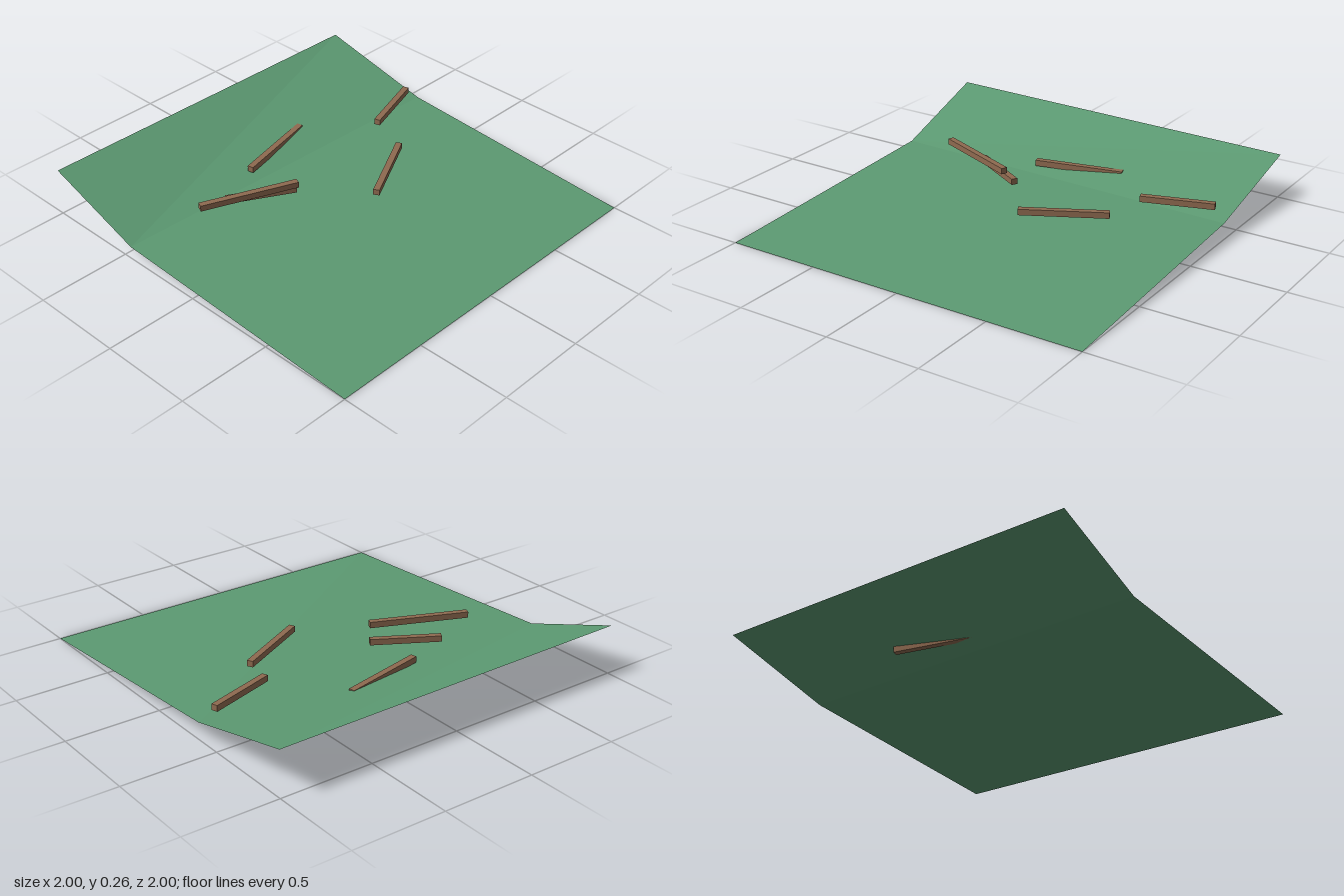
import * as THREE from 'three';

// Squared plank lying flat between two end points on the xz plane
function plank(name, [x0, z0], [x1, z1], y, material) {
  const length = Math.hypot(x1 - x0, z1 - z0);
  const mesh = new THREE.Mesh(new THREE.BoxGeometry(length, 0.032, 0.033), material);
  mesh.position.set((x0 + x1) / 2, y, (z0 + z1) / 2);
  mesh.rotation.y = -Math.atan2(z1 - z0, x1 - x0);
  mesh.name = name;
  return mesh;
}

// Thin sheet of ground: a gentle rise, then a steeper bank behind a slanted fold
function makeGround() {
  const rows = [ // left and right corner of each row, front to back
    [[-1, 0, 1], [1, 0, 1]],
    [[-1, 0.07, -0.45], [1, 0.09, -0.355]],
    [[-1, 0.262, -1], [1, 0.241, -1]],
  ];
  const points = [];
  for (let i = 0; i < rows.length - 1; i++) {
    const [a, b] = rows[i], [d, c] = rows[i + 1];
    points.push(...a, ...b, ...c, ...a, ...c, ...d);
  }
  const geometry = new THREE.BufferGeometry();
  geometry.setAttribute('position', new THREE.Float32BufferAttribute(points, 3));
  geometry.computeVertexNormals();
  const material = new THREE.MeshStandardMaterial({ color: 0x5c9a72, flatShading: true, side: THREE.DoubleSide });
  const mesh = new THREE.Mesh(geometry, material);
  mesh.name = 'ground';
  return mesh;
}

export function createModel() {
  const group = new THREE.Group();
  group.name = 'groundWithPlanks';
  group.add(makeGround());

  // Scattered planks: end points and height of the centre
  const wood = new THREE.MeshStandardMaterial({ color: 0x8f6a50, flatShading: true });
  const planks = [
    ['longPlank', [-0.644, -0.337], [-0.161, -0.138], 0.183],
    ['lowPlank', [-0.447, -0.366], [-0.128, -0.184], 0.114],
    ['buriedPlank', [-0.176, -0.473], [0.293, -0.581], 0.117],
    ['frontPlank', [0.113, 0.151], [0.517, -0.061], 0.129],
    ['sidePlank', [0.571, -0.27], [0.932, -0.386], 0.157],
  ];
  for (const [name, start, end, y] of planks) group.add(plank(name, start, end, y, wood));
  return group;
}
